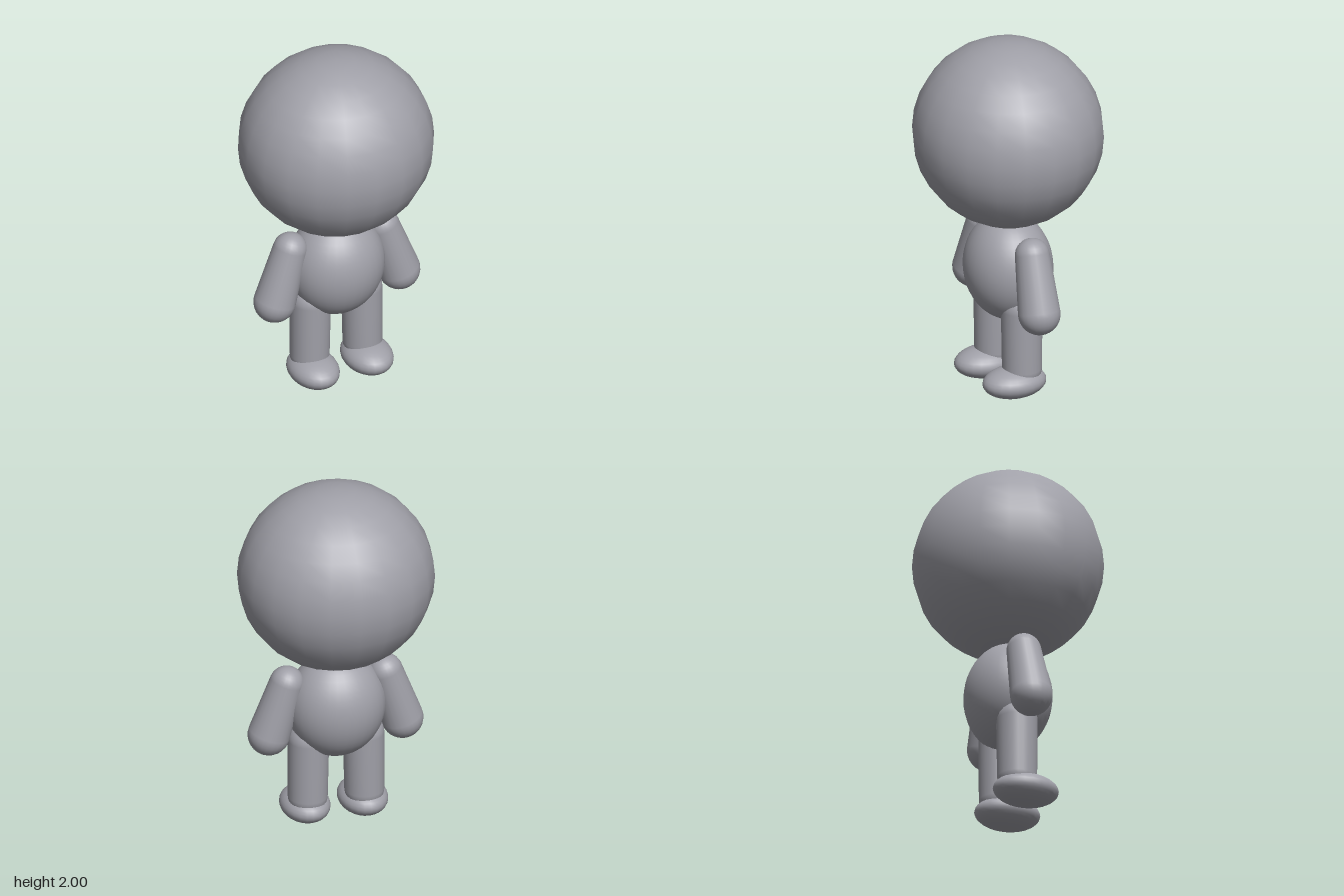
import * as THREE from 'three';

const grey = new THREE.MeshStandardMaterial({ color: 0xa0a0a8 });
grey.name = 'soft grey';

// Smooth ellipsoid from a centre and three radii
function ellipsoid(name, center, radii, around = 20, down = 16) {
  const geometry = new THREE.SphereGeometry(1, around, down);
  geometry.scale(...radii);
  const mesh = new THREE.Mesh(geometry, grey);
  mesh.name = name;
  mesh.position.set(...center);
  return mesh;
}

// Tapered capsule running from a lower ball to an upper ball
function limb(name, low, lowRadius, high, highRadius) {
  const a = new THREE.Vector3(...low);
  const axis = new THREE.Vector3(...high).sub(a);
  const length = axis.length();
  const tilt = Math.asin((lowRadius - highRadius) / length);
  const steps = 8;
  const profile = [];
  const addArc = (from, to, radius, y) => {
    for (let i = 0; i <= steps; i++) {
      const t = from + ((to - from) * i) / steps;
      profile.push(new THREE.Vector2(Math.max(0, radius * Math.cos(t)), y + radius * Math.sin(t)));
    }
  };
  addArc(-Math.PI / 2, tilt, lowRadius, 0);
  addArc(tilt, Math.PI / 2, highRadius, length);
  const mesh = new THREE.Mesh(new THREE.LatheGeometry(profile, 24), grey);
  mesh.name = name;
  mesh.position.copy(a);
  mesh.quaternion.setFromUnitVectors(new THREE.Vector3(0, 1, 0), axis.normalize());
  return mesh;
}

export function createModel() {
  const model = new THREE.Group();
  model.name = 'bigHeadedFigure';

  // Head and torso
  model.add(ellipsoid('head', [0, 1.48, 0], [0.535, 0.52, 0.515]));
  model.add(ellipsoid('torso', [0, 0.7, 0], [0.27, 0.3, 0.237], 32, 24));

  // Limbs, mirrored left and right
  for (const [side, s] of [['left', 1], ['right', -1]]) {
    model.add(limb(side + 'Arm', [s * 0.372, 0.555, 0.01], 0.115, [s * 0.275, 0.86, 0], 0.094));
    model.add(limb(side + 'Leg', [s * 0.158, 0.16, 0], 0.108, [s * 0.154, 0.5, 0], 0.112));
    model.add(ellipsoid(side + 'Foot', [s * 0.161, 0.088, 0.048], [0.135, 0.085, 0.182], 24, 16));
  }
  return model;
}
